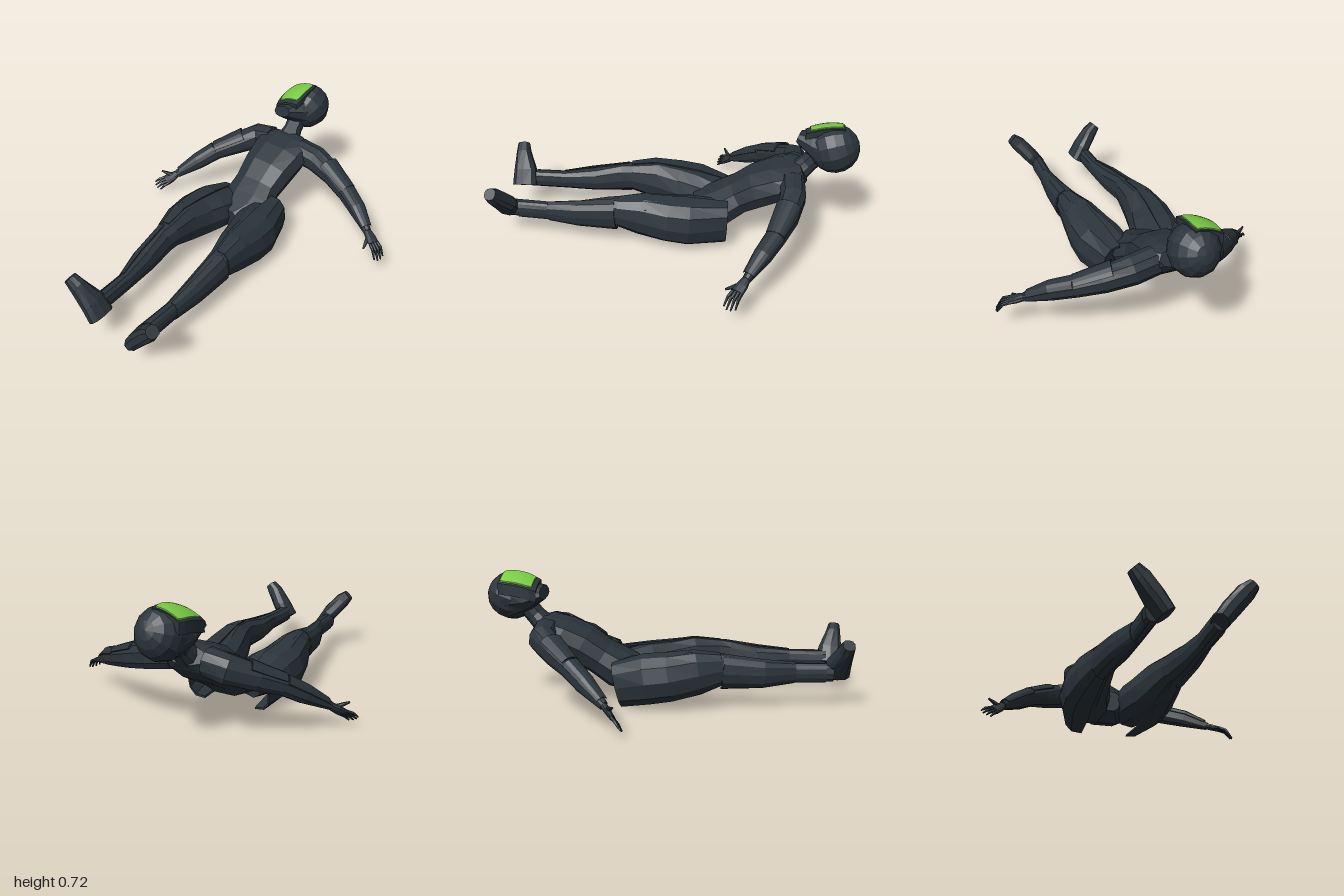
import * as THREE from 'three';

const suit = new THREE.MeshStandardMaterial({ color: 0x2b353c, flatShading: true });
suit.name = 'dark suit';
const green = new THREE.MeshStandardMaterial({ color: 0x7bcc46, flatShading: true });
green.name = 'visor green';
const V = (a) => new THREE.Vector3(...a);

// Closed ring of unit points: a rounded octagon-like outline, or an arc-shaped shell of half-angle arc
function ring(arc) {
  const pts = [];
  const soft = (n) => Math.sign(n) * Math.abs(n) ** 0.85;
  if (!arc) {
    for (let i = 0; i < 10; i++) {
      const t = (i / 10) * Math.PI * 2;
      pts.push([soft(Math.cos(t)), soft(Math.sin(t))]);
    }
    return pts;
  }
  for (const [dir, r] of [[1, 1], [-1, 0.9]])
    for (let i = 0; i <= 6; i++) {
      const t = dir * arc * (i / 3 - 1);
      pts.push([r * soft(Math.cos(t)), r * soft(Math.sin(t))]);
    }
  return pts;
}

// Skin sections [x, y, z, halfWidth, halfDepth]; wide is the width direction
function loft(name, secs, wide, arc = 0) {
  const shape = ring(arc), n = shape.length, pos = [], idx = [];
  secs.forEach((s, i) => {
    const prev = V(secs[Math.max(i - 1, 0)].slice(0, 3));
    const next = V(secs[Math.min(i + 1, secs.length - 1)].slice(0, 3));
    const t = next.sub(prev).normalize();
    const u = V(wide).addScaledVector(t, -V(wide).dot(t)).normalize();
    const v = t.clone().cross(u);
    for (const [a, b] of shape) {
      const p = V(s.slice(0, 3)).addScaledVector(u, a * s[3]).addScaledVector(v, b * (s[4] ?? s[3]));
      pos.push(p.x, p.y, p.z);
    }
  });
  for (let i = 0; i < secs.length - 1; i++)
    for (let j = 0; j < n; j++) {
      const a = i * n + j, b = i * n + (j + 1) % n;
      idx.push(a, b, b + n, a, b + n, a + n);
    }
  const e = (secs.length - 1) * n;
  for (let k = 0; k < n / 2 - 1; k++) {
    const a = k, b = k + 1, c = n - 2 - k, d = n - 1 - k;
    idx.push(a, c, b, a, d, c, e + a, e + b, e + c, e + a, e + c, e + d);
  }
  const g = new THREE.BufferGeometry();
  g.setAttribute('position', new THREE.Float32BufferAttribute(pos, 3));
  g.setIndex(idx);
  g.computeVertexNormals();
  const m = new THREE.Mesh(g, suit);
  m.name = name;
  return m;
}

const swell = (secs, k) => secs.map(([x, y, z, a, b = a]) => [x, y, z, a * k, b * k]);

// Curved slab with softened corners whose top follows the brow of the helmet
function facePanel(name, x0, x1, z0, z1, thick, lift, mat) {
  const g = new THREE.BoxGeometry(x1 - x0, thick, z1 - z0, 6, 1, 6);
  g.translate(0, -thick / 2, 0);
  const p = g.attributes.position;
  for (let i = 0; i < p.count; i++) {
    const vz = p.getZ(i) * 2 / (z1 - z0);
    const x = (x0 + x1) / 2 + p.getX(i) * (1 - 0.14 * vz ** 4), z = (z0 + z1) / 2 + p.getZ(i);
    p.setXYZ(i, x, p.getY(i) + 0.718 + lift - 2.4 * (x + 0.06) ** 2 - 1.7 * (z + 0.87) ** 2, z);
  }
  g.computeVertexNormals();
  const m = new THREE.Mesh(g, mat);
  m.name = name;
  return m;
}

function head() {
  const g = new THREE.Group();
  g.name = 'head';
  const skull = new THREE.Mesh(new THREE.SphereGeometry(0.134, 12, 9), suit);
  skull.name = 'helmet';
  skull.scale.set(0.95, 1, 1);
  skull.rotation.x = -1.2;
  skull.position.set(-0.075, 0.586, -0.866);
  g.add(skull,
    loft('jaw', [[-0.08, 0.58, -0.85, 0.12, 0.115], [-0.115, 0.59, -0.755, 0.1, 0.07],
      [-0.135, 0.612, -0.672, 0.065, 0.033]], [1, 0.25, 0]),
    facePanel('helmetFace', -0.212, -0.045, -0.91, -0.705, 0.06, 0, suit),
    facePanel('visor', -0.2, -0.06, -0.9, -0.728, 0.009, 0.006, green));
  return g;
}

function leg(name, xs, plateXs, plateStart, foot, side) {
  const g = new THREE.Group();
  g.name = name;
  const prof = [[0.16, -0.23, 0.1, 0.1], [0.175, -0.11, 0.128, 0.115], [0.18, 0, 0.124, 0.12],
    [0.205, 0.15, 0.098, 0.118], [0.22, 0.28, 0.068, 0.085], [0.21, 0.34, 0.06, 0.085],
    [0.19, 0.5, 0.055, 0.07], [0.19, 0.69, 0.036, 0.052], [0.19, 0.9, 0.038, 0.05]];
  const secs = prof.map((p, i) => [xs[i], ...p]);
  const plate = [[...plateStart, 0.085, 0.125], [0.162, -0.1, 0.135, 0.137],
    [0.177, 0.02, 0.128, 0.132], [0.203, 0.17, 0.1, 0.122], [0.22, 0.3, 0.068, 0.088]]
    .map((p, i) => [plateXs[i], ...p]);
  const out = [side, 0, 0];
  g.add(loft('legBody', secs, out), loft('thighPlate', plate, out, 1.72));
  g.add(loft('shinPlate', [[secs[5][0], 0.205, 0.3, 0.073, 0.098],
    [secs[6][0], 0.19, 0.52, 0.062, 0.08], [secs[7][0], 0.19, 0.69, 0.041, 0.06]], out, 1.5));
  g.add(loft('anklePlate', [[secs[7][0], 0.19, 0.68, 0.038, 0.056],
    [secs[8][0], 0.19, 0.86, 0.042, 0.055]], out, 1.2));
  const footProf = [[0.165, 0.925, 0.042, 0.074], [0.24, 0.93, 0.048, 0.068],
    [0.325, 0.955, 0.047, 0.042], [0.362, 0.963, 0.034, 0.034]];
  g.add(loft('foot', footProf.map((p, i) => [foot[i], ...p]), [1, -side, 0]));
  return g;
}

function arm(name, path, spread, tip, thumb, curl) {
  const g = new THREE.Group();
  g.name = name;
  const r = [0.075, 0.076, 0.066, 0.053, 0.048, 0.024];
  const secs = path.map((p, i) => [...p, r[i], r[i] * 0.92]);
  const up = [0, 1, 0];
  g.add(loft('armBody', secs, up));
  g.add(loft('upperArmPlate', swell([[...V(secs[2]).lerp(V(secs[1]), 0.4).toArray(), 0.068, 0.063], secs[3]], 1.2), up, 1.0));
  g.add(loft('forearmPlate', swell([secs[3], secs[4], [...V(secs[5]).lerp(V(secs[4]), 0.15).toArray(), 0.03]], 1.16), up, 1.2));
  // Hand with four curled fingers and a thumb
  const wrist = V(path[5]), end = V(tip), s = V(spread).normalize();
  const knuckle = wrist.clone().lerp(end, 0.5).add(V([0, curl, 0]));
  g.add(loft('palm', [[...wrist, 0.022, 0.018], [...wrist.clone().lerp(knuckle, 0.5), 0.032, 0.016],
    [...knuckle, 0.034, 0.012]], spread));
  for (let k = -1.5; k <= 1.5; k++) {
    const a = knuckle.clone().addScaledVector(s, k * 0.016);
    const c = end.clone().addScaledVector(s, k * 0.022).lerp(a, Math.abs(k) * 0.12);
    const b = a.clone().lerp(c, 0.55).add(V([0, 0.006 + curl * 0.5, 0]));
    g.add(loft('finger', [[...a, 0.009], [...b, 0.008], [...c, 0.004]], spread));
  }
  const root = wrist.clone().lerp(knuckle, 0.3);
  g.add(loft('thumb', [[...root, 0.013], [...root.clone().lerp(V(thumb), 0.6), 0.01], [...thumb, 0.005]], up));
  return g;
}

export function createModel() {
  const model = new THREE.Group();
  model.name = 'recliningFigure';

  // Torso from crotch to collar
  model.add(loft('torso', [[-0.07, 0.16, -0.1, 0.05, 0.06], [-0.065, 0.16, -0.19, 0.15, 0.1],
    [-0.07, 0.19, -0.28, 0.165, 0.11], [-0.08, 0.25, -0.37, 0.15, 0.1],
    [-0.08, 0.315, -0.47, 0.165, 0.11], [-0.08, 0.37, -0.58, 0.18, 0.103],
    [-0.08, 0.415, -0.665, 0.185, 0.075], [-0.085, 0.44, -0.71, 0.11, 0.05]], [1, 0, 0]));
  model.add(loft('neck', [[-0.085, 0.42, -0.68, 0.075, 0.06], [-0.088, 0.48, -0.735, 0.052],
    [-0.09, 0.57, -0.81, 0.055]], [1, 0, 0]));
  model.add(head());

  model.add(leg('leftLeg', [0.05, 0.095, 0.124, 0.15, 0.17, 0.172, 0.18, 0.19, 0.19],
    [0.085, 0.115, 0.132, 0.15, 0.172], [0.155, -0.31], [0.175, 0.23, 0.3, 0.335], 1));
  model.add(leg('rightLeg', [-0.16, -0.205, -0.23, -0.225, -0.205, -0.205, -0.18, -0.142, -0.13],
    [-0.225, -0.23, -0.238, -0.228, -0.208], [0.124, -0.265], [-0.08, -0.13, -0.2, -0.237], -1));

  model.add(arm('leftArm', [[0.02, 0.405, -0.655], [0.14, 0.385, -0.665], [0.28, 0.345, -0.64],
    [0.41, 0.3, -0.59], [0.52, 0.265, -0.535], [0.64, 0.207, -0.465]],
  [-0.35, 0, 1], [0.778, 0.11, -0.39], [0.68, 0.165, -0.365], 0.022));
  model.add(arm('rightArm', [[-0.18, 0.405, -0.655], [-0.29, 0.385, -0.655], [-0.4, 0.33, -0.56],
    [-0.49, 0.28, -0.47], [-0.565, 0.215, -0.38], [-0.655, 0.135, -0.27]],
  [0.8, -0.5, 0.15], [-0.758, 0.04, -0.17], [-0.74, 0.15, -0.215], 0));
  return model;
}
